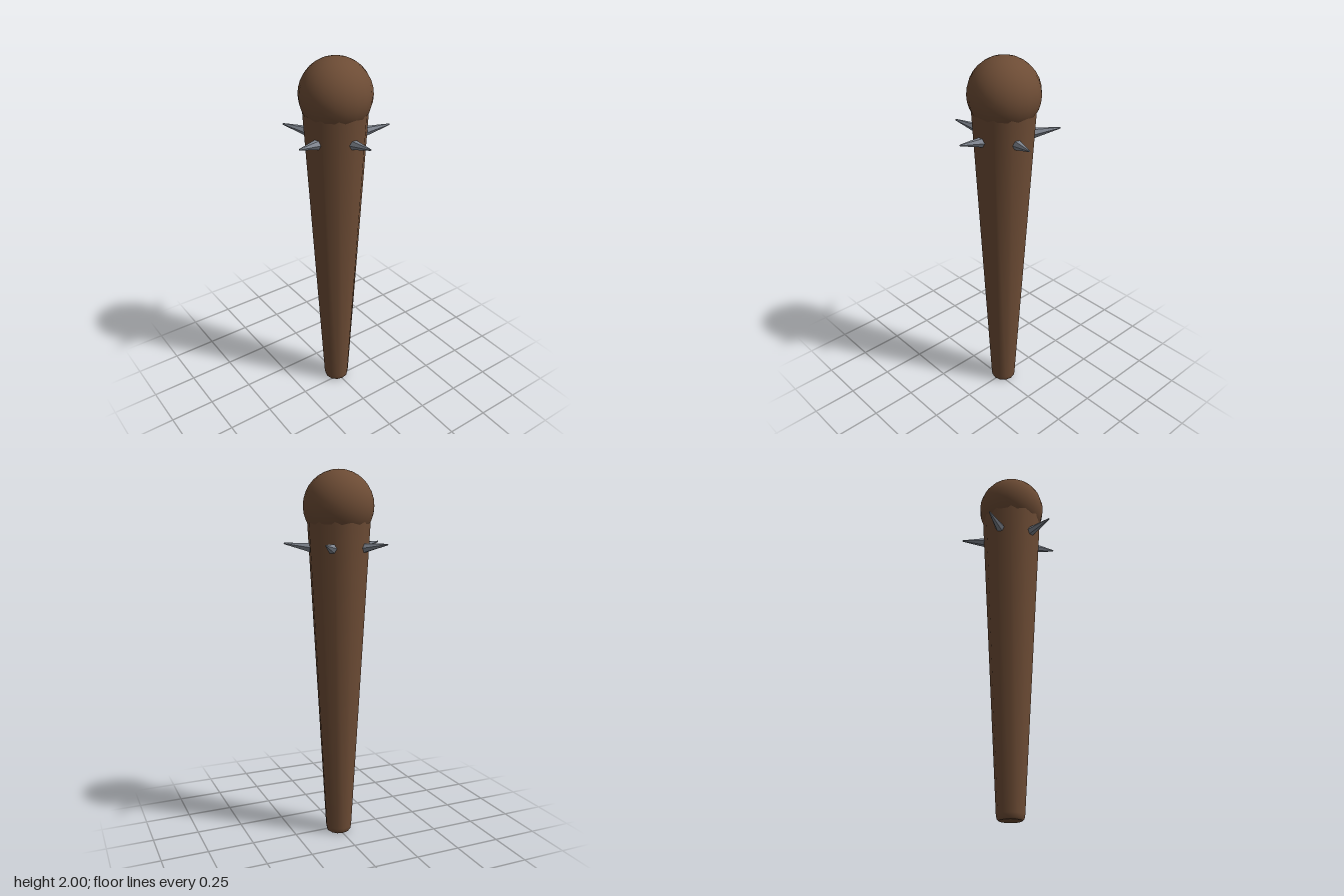
import * as THREE from 'three';

export function createModel() {
  const wood = new THREE.MeshStandardMaterial({ color: 0x6d4c35 });
  wood.name = 'brown wood';
  const metal = new THREE.MeshStandardMaterial({ color: 0x808690, flatShading: true });
  metal.name = 'grey metal';

  const model = new THREE.Group();
  model.name = 'spikedClub';
  const club = new THREE.Group();
  club.name = 'club';
  club.position.x = -0.028;
  model.add(club);

  const add = (name, geometry, material, parent) => {
    const mesh = new THREE.Mesh(geometry, material);
    mesh.name = name;
    parent.add(mesh);
    return mesh;
  };

  // Tapered shaft with a small rounded edge at the foot
  const profile = [[0.06, 0], [0.068, 0.008], [0.072, 0.03], [0.168, 1.75], [0.168, 1.8]]
    .map(([r, y]) => new THREE.Vector2(r, y));
  add('shaft', new THREE.LatheGeometry(profile, 12), wood, club);

  // Flat foot closing the shaft
  const foot = add('foot', new THREE.CircleGeometry(0.06, 12), wood, club);
  foot.rotation.set(Math.PI / 2, 0, Math.PI / 2);

  // Round head
  add('head', new THREE.SphereGeometry(0.187, 20, 16), wood, club).position.y = 1.813;

  // Ring of five spikes, each leaning slightly upward
  const spikeShape = new THREE.CylinderGeometry(0.004, 0.03, 0.16, 6)
    .translate(0, 0.08, 0)
    .rotateZ(-Math.PI / 2 + 0.16);
  for (let i = 0; i < 5; i++) {
    const holder = new THREE.Group();
    holder.name = 'spikeHolder' + (i + 1);
    holder.position.y = 1.597;
    holder.rotation.y = (i * Math.PI * 2) / 5;
    add('spike', spikeShape, metal, holder).position.x = 0.13;
    club.add(holder);
  }

  return model;
}
